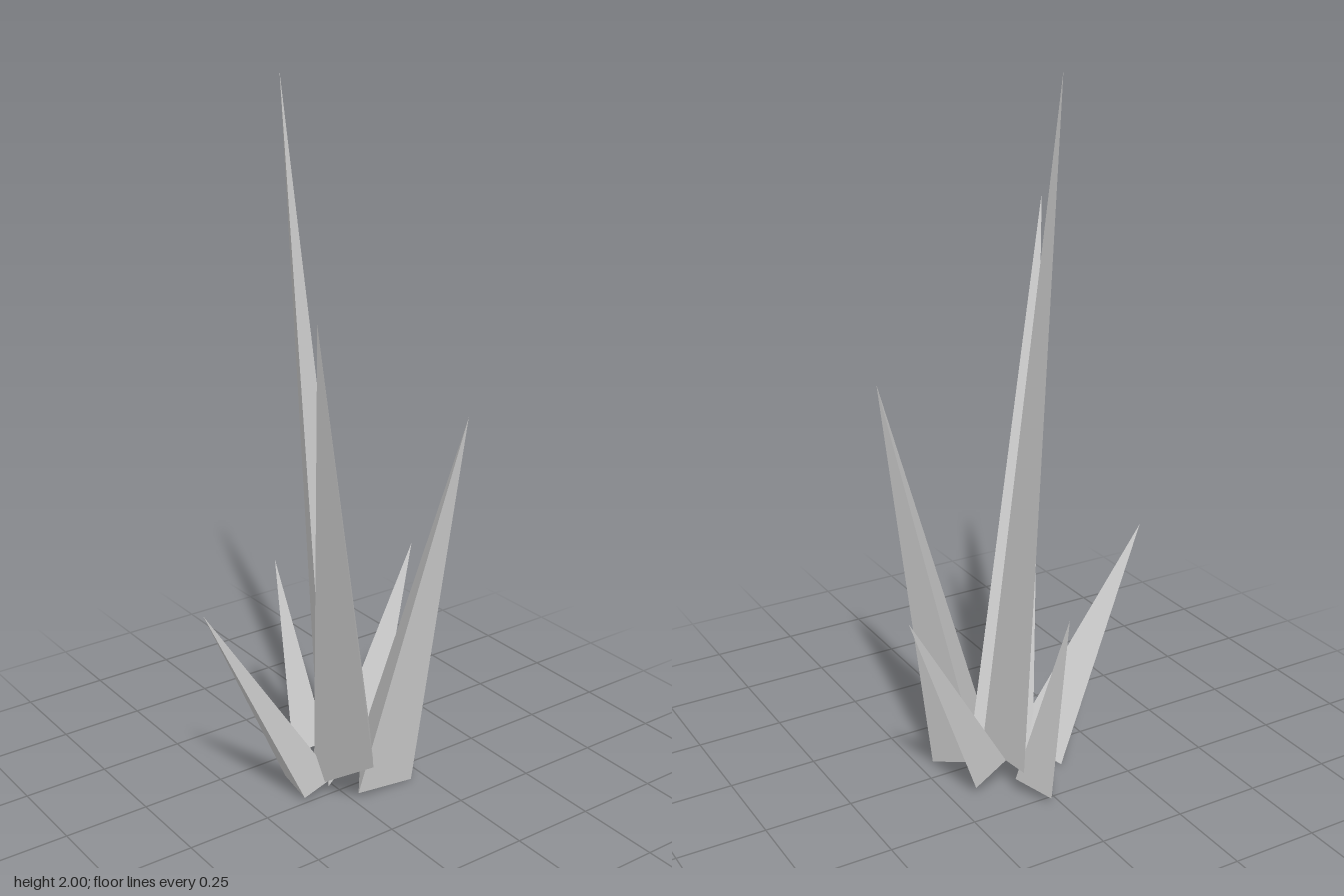
import * as THREE from 'three';

// Each shard: pointed tip and the three corners of its slanted base
const SHARDS = {
  tallShard: [[0.08, 2, -0.385], [-0.042, 0.03, 0.005], [0.108, 0.09, -0.045], [0.08, 0.085, -0.225]],
  frontShard: [[-0.34, 1.54, 0.385], [-0.025, 0.18, 0.195], [0.147, 0.065, -0.036], [-0.055, 0.01, -0.05]],
  frontLeftShard: [[0.302, 1.13, 0.173], [0.205, 0, 0.075], [0.015, 0.02, 0.073], [0.152, 0.075, -0.1]],
  leftShard: [[0.406, 0.61, -0.193], [0.18, 0.02, -0.135], [0.13, 0.07, 0], [0.09, 0.085, -0.144]],
  rightShard: [[-0.408, 0.655, -0.05], [-0.095, 0.012, -0.14], [-0.115, 0.01, -0.01], [-0.02, 0.05, 0]],
  backShard: [[0.025, 0.595, -0.36], [-0.035, 0.04, -0.185], [0.028, 0.02, -0.285], [0.083, 0.045, -0.185]],
};

// Closed three-sided spike with flat faces turned outward
function shardGeometry(points) {
  const v = points.map((p) => new THREE.Vector3(...p));
  const centre = v.reduce((s, p) => s.add(p), new THREE.Vector3()).divideScalar(4);
  const out = [];
  for (const [i, j, k] of [[0, 1, 2], [0, 2, 3], [0, 3, 1], [1, 2, 3]]) {
    const face = new THREE.Triangle(v[i], v[j], v[k]);
    const normal = face.getNormal(new THREE.Vector3());
    const outward = normal.dot(v[i].clone().sub(centre)) > 0;
    const order = outward ? [i, j, k] : [i, k, j];
    order.forEach((n) => out.push(...v[n].toArray()));
  }
  const geometry = new THREE.BufferGeometry();
  geometry.setAttribute('position', new THREE.Float32BufferAttribute(out, 3));
  geometry.computeVertexNormals();
  return geometry;
}

export function createModel() {
  const group = new THREE.Group();
  group.name = 'crystalCluster';
  const material = new THREE.MeshStandardMaterial({ color: 0xcccccc, flatShading: true });
  for (const [name, points] of Object.entries(SHARDS)) {
    const mesh = new THREE.Mesh(shardGeometry(points), material);
    mesh.name = name;
    group.add(mesh);
  }
  return group;
}
